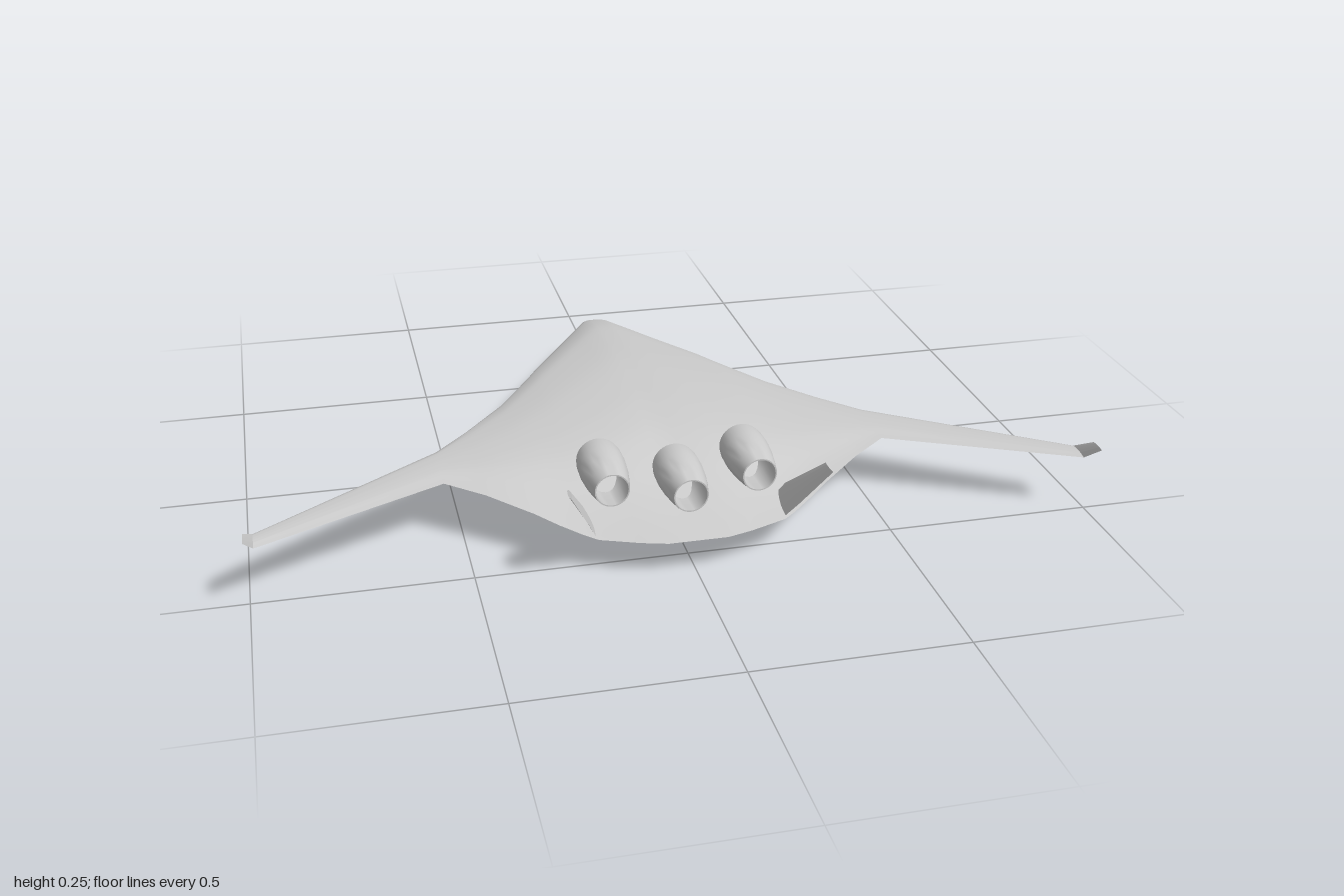
import * as THREE from 'three';
import { toCreasedNormals } from 'three/addons/utils/BufferGeometryUtils.js';

const grey = new THREE.MeshStandardMaterial({ color: 0xcccccc });
const greyThin = new THREE.MeshStandardMaterial({ color: 0xcccccc, side: THREE.DoubleSide });
const glass = new THREE.MeshStandardMaterial({ color: 0x3f8f80, side: THREE.DoubleSide });

// Thickness along the chord, 0 at the leading edge to 1 at the trailing edge
const profile = new THREE.SplineCurve([
  [0, 0], [0.007, 0.2], [0.028, 0.39], [0.11, 0.67], [0.19, 0.81], [0.354, 0.975], [0.516, 0.99],
  [0.6, 0.95], [0.68, 0.85], [0.76, 0.64], [0.84, 0.38], [0.92, 0.165], [1, 0],
].map(([u, f]) => new THREE.Vector2(u, f))).getPoints(40);

// Closed loop: trailing edge, over the top to the nose, back underneath
function section(place) {
  const top = profile.map(p => place(p.x, p.y, 1)).reverse();
  const bottom = profile.slice(1, -1).map(p => place(p.x, p.y, -1));
  return [...top, ...bottom];
}

const mirrored = sections =>
  sections.map(s => s.map(([x, y, z]) => [-x, y, z])).reverse();

// Skins a row of equal loops and closes both ends
function loft(sections) {
  const n = sections[0].length, last = sections.length - 1;
  const pos = sections.flat(2), index = [];
  for (let i = 0; i < last; i++) {
    for (let j = 0; j < n; j++) {
      const k = (j + 1) % n;
      const a = i * n + j, b = i * n + k, c = a + n, d = b + n;
      index.push(a, c, b, b, c, d);
    }
  }
  for (const i of [0, last]) {
    const centre = pos.length / 3;
    for (let axis = 0; axis < 3; axis++) {
      pos.push(sections[i].reduce((sum, p) => sum + p[axis], 0) / n);
    }
    for (let j = 0; j < n; j++) {
      const a = i * n + j, b = i * n + (j + 1) % n;
      index.push(centre, ...(i === 0 ? [a, b] : [b, a]));
    }
  }
  const geo = new THREE.BufferGeometry();
  geo.setAttribute('position', new THREE.Float32BufferAttribute(pos, 3));
  geo.setIndex(index);
  return toCreasedNormals(geo, 0.7);
}

function add(parent, name, geo, material) {
  const mesh = new THREE.Mesh(geo, material);
  mesh.name = name;
  parent.add(mesh);
  return mesh;
}

// Blended body, wings and winglets
// x, z of leading and trailing edge, y of both edges, highest and lowest y
const stations = [
  [0, -0.635, 0.597, 0.11, 0.09, 0.205, 0.001],
  [0.015, -0.634, 0.597, 0.11, 0.09, 0.205, 0.001],
  [0.03, -0.625, 0.597, 0.11, 0.09, 0.205, 0.002],
  [0.07, -0.56, 0.597, 0.112, 0.09, 0.203, 0.005],
  [0.13, -0.455, 0.58, 0.118, 0.09, 0.198, 0.018],
  [0.22, -0.30, 0.545, 0.13, 0.09, 0.188, 0.04],
  [0.25, -0.245, 0.525, 0.133, 0.095, 0.184, 0.055],
  [0.30, -0.16, 0.485, 0.138, 0.105, 0.178, 0.085],
  [0.35, -0.08, 0.447, 0.142, 0.12, 0.173, 0.103],
  [0.45, 0.05, 0.37, 0.15, 0.14, 0.164, 0.128],
  [0.54, 0.15, 0.305, 0.153, 0.148, 0.157, 0.138],
  [0.98, 0.45, 0.51, 0.148, 0.146, 0.151, 0.143],
  [1.0, 0.51, 0.555, 0.185, 0.185, 0.187, 0.183],
];

function bodyGeometry() {
  const half = stations.map(([x, z0, z1, y0, y1, high, low]) => {
    const mid = (y0 + y1) / 2;
    return section((u, f, side) => [
      x,
      y0 + (y1 - y0) * u + f * ((side > 0 ? high : low) - mid),
      z0 + (z1 - z0) * u,
    ]);
  });
  return loft([...mirrored(half.slice(1)), ...half]);
}

// Canted tail fin: x, y, z of leading and trailing edge at root, knee and tip
function finSections() {
  return [
    [0.222, 0.088, 0.43, 0.53],
    [0.245, 0.14, 0.462, 0.568],
    [0.297, 0.25, 0.588, 0.637],
  ].map(([x, y, z0, z1]) => section((u, f, side) => [
    x - 0.91 * f * side * 0.004,
    y + 0.41 * f * side * 0.004,
    z0 + (z1 - z0) * u,
  ]));
}

// Hollow nacelle, from the intake lip outside to the nozzle and back inside
function nacelleGeometry() {
  const points = [
    [0.048, 0], [0.052, 0.002], [0.055, 0.02], [0.056, 0.06], [0.053, 0.1], [0.047, 0.14], [0.041, 0.17],
    [0.038, 0.17], [0.043, 0.13], [0.047, 0.08], [0.047, 0.03], [0.048, 0],
  ].map(([r, z]) => new THREE.Vector2(r, z));
  const geo = new THREE.LatheGeometry(points, 32);
  geo.rotateX(Math.PI / 2);
  return toCreasedNormals(geo, 0.7);
}

export function createModel() {
  const model = new THREE.Group();
  model.name = 'blendedWingAircraft';

  add(model, 'bodyAndWings', bodyGeometry(), grey);

  const fin = finSections();
  add(model, 'leftTailFin', loft(fin), grey);
  add(model, 'rightTailFin', loft(mirrored(fin)), grey);

  // Three engines on the rear deck
  const nacelle = nacelleGeometry();
  for (const [name, x, y, z] of [
    ['leftEngine', 0.175, 0.178, 0.312],
    ['centreEngine', 0, 0.166, 0.355],
    ['rightEngine', -0.175, 0.178, 0.312],
  ]) {
    add(model, name, nacelle, greyThin).position.set(x, y, z);
  }

  // Small triangular window on each side of the nose
  for (const side of [1, -1]) {
    const geo = new THREE.BufferGeometry().setFromPoints([
      new THREE.Vector3(side * 0.199, 0.146, -0.328),
      new THREE.Vector3(side * 0.184, 0.146, -0.354),
      new THREE.Vector3(side * 0.19, 0.126, -0.356),
    ]);
    if (side < 0) geo.setIndex([0, 2, 1]);
    else geo.setIndex([0, 1, 2]);
    geo.computeVertexNormals();
    add(model, side > 0 ? 'leftWindow' : 'rightWindow', geo, glass);
  }

  return model;
}
